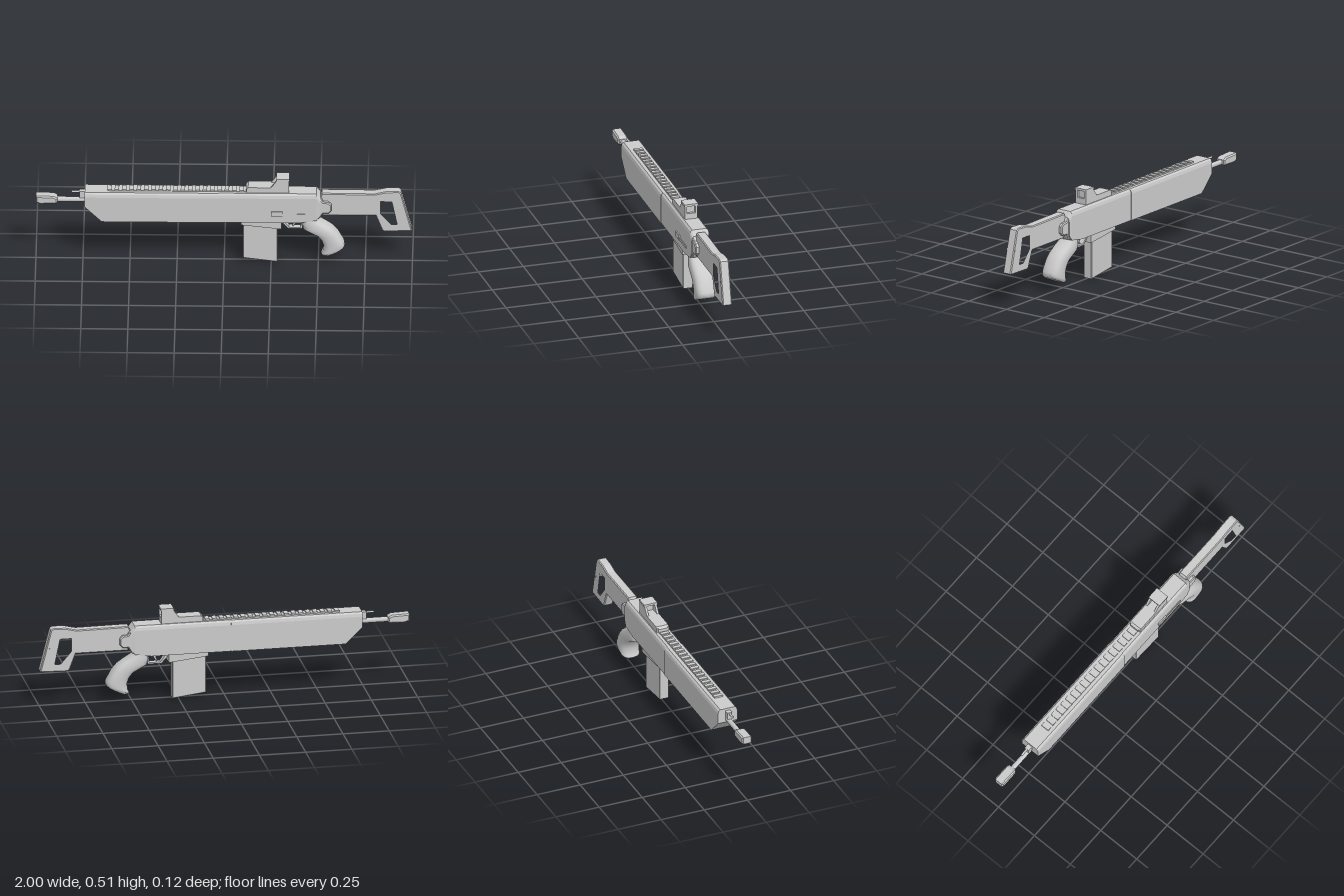
import * as THREE from 'three';
import { ConvexGeometry } from 'three/addons/geometries/ConvexGeometry.js';
import { toCreasedNormals } from 'three/addons/utils/BufferGeometryUtils.js';

const material = new THREE.MeshStandardMaterial({ color: 0xcccccc });

function shapeOf(points) {
  return new THREE.Shape(points.map(([x, y]) => new THREE.Vector2(x, y)));
}

// Side profile in x/y, given thickness centred on z, with an optional inward bevel
function plate(points, halfWidth, { hole, bevel = 0, z = 0 } = {}) {
  const shape = shapeOf(points);
  if (hole) shape.holes.push(shapeOf(hole));
  const depth = 2 * (halfWidth - bevel);
  const geometry = new THREE.ExtrudeGeometry(shape, {
    depth, bevelEnabled: bevel > 0, bevelSize: bevel, bevelThickness: bevel,
    bevelOffset: -bevel, bevelSegments: 1,
  });
  return geometry.translate(0, 0, z - depth / 2);
}

// Box given by its limits
function block(x0, x1, y0, y1, z0, z1) {
  return new THREE.BoxGeometry(x1 - x0, y1 - y0, z1 - z0)
    .translate((x0 + x1) / 2, (y0 + y1) / 2, (z0 + z1) / 2);
}

// Convex body from stations [x, bottom, top, halfWidth], with softened top edges
function housing(stations) {
  const points = [];
  for (const [x, bottom, top, w] of stations) {
    for (const s of [-1, 1]) {
      points.push(
        new THREE.Vector3(x, bottom, s * w),
        new THREE.Vector3(x, top - 0.025, s * w),
        new THREE.Vector3(x, top - 0.009, s * (w - 0.004)),
        new THREE.Vector3(x, top, s * (w - 0.013)),
      );
    }
  }
  return new ConvexGeometry(points);
}

function rod(x0, x1, y, radius) {
  return new THREE.CylinderGeometry(radius, radius, x1 - x0, 12)
    .rotateZ(Math.PI / 2).translate((x0 + x1) / 2, y, 0);
}

// Curved grip: rounded rings between a front and a back edge
function gripGeometry() {
  const rings = [ // front x, y, back x, y, half width
    [0.41, 0.268, 0.49, 0.268, 0.046], [0.412, 0.235, 0.505, 0.253, 0.05],
    [0.42, 0.202, 0.545, 0.23, 0.054], [0.455, 0.182, 0.58, 0.205, 0.055],
    [0.49, 0.165, 0.608, 0.172, 0.055], [0.515, 0.135, 0.625, 0.14, 0.055],
    [0.527, 0.1, 0.638, 0.118, 0.055], [0.522, 0.065, 0.641, 0.1, 0.055],
    [0.515, 0.05, 0.638, 0.094, 0.054], [0.527, 0.038, 0.627, 0.083, 0.045],
  ];
  const n = 20, positions = [], index = [];
  const soft = (v) => Math.sign(v) * Math.abs(v) ** 0.7;
  for (const [fx, fy, bx, by, w] of rings) {
    for (let i = 0; i < n; i++) {
      const a = (i / n) * Math.PI * 2, t = (soft(Math.cos(a)) + 1) / 2;
      positions.push(fx + (bx - fx) * t, fy + (by - fy) * t, w * soft(Math.sin(a)));
    }
  }
  const last = rings.length - 1;
  for (let r = 0; r < last; r++) {
    for (let i = 0; i < n; i++) {
      const a = r * n + i, b = r * n + (i + 1) % n;
      index.push(a, b, a + n, b, b + n, a + n);
    }
  }
  for (let i = 1; i < n - 1; i++) {
    index.push(0, i + 1, i, last * n, last * n + i, last * n + i + 1);
  }
  const geometry = new THREE.BufferGeometry();
  geometry.setAttribute('position', new THREE.Float32BufferAttribute(positions, 3));
  geometry.setIndex(index);
  return toCreasedNormals(geometry, 0.7);
}

export function createModel() {
  const model = new THREE.Group();
  const add = (name, geometry, parent = model) => {
    const mesh = new THREE.Mesh(geometry, material);
    mesh.name = name;
    parent.add(mesh);
    return mesh;
  };
  const group = (name) => {
    const g = new THREE.Group();
    g.name = name;
    model.add(g);
    return g;
  };

  // Long fore-end and receiver
  add('handguard', housing([
    [-0.74, 0.345, 0.428, 0.056], [-0.65, 0.256, 0.428, 0.056], [-0.03, 0.256, 0.428, 0.056],
  ]));
  add('receiver', housing([
    [-0.03, 0.256, 0.428, 0.053], [0.4, 0.256, 0.428, 0.053],
    [0.49, 0.27, 0.428, 0.053], [0.512, 0.3, 0.4, 0.05],
  ]));
  add('rearKnuckle', plate([
    [0.48, 0.27], [0.505, 0.275], [0.525, 0.308], [0.555, 0.308], [0.57, 0.325],
    [0.57, 0.36], [0.555, 0.375], [0.525, 0.378], [0.51, 0.4], [0.48, 0.4],
  ], 0.045, { bevel: 0.005 }));

  // Magazine and its well
  add('magazineWell', plate([
    [0.09, 0.27], [0.09, 0.232], [0.305, 0.208], [0.305, 0.27],
  ], 0.038));
  add('magazine', plate([
    [0.1, 0.24], [0.1, 0.024], [0.284, 0.001], [0.284, 0.24],
  ], 0.027, { bevel: 0.003 }));

  // Trigger and guard
  add('triggerGuard', plate([
    [0.3, 0.26], [0.3, 0.245], [0.34, 0.2], [0.415, 0.2], [0.42, 0.262],
  ], 0.016, { hole: [[0.315, 0.25], [0.345, 0.208], [0.406, 0.208], [0.41, 0.25]] }));
  add('trigger', plate([
    [0.36, 0.26], [0.385, 0.26], [0.382, 0.235], [0.368, 0.212], [0.362, 0.212], [0.37, 0.237],
  ], 0.008));

  add('pistolGrip', gripGeometry());

  // Shoulder stock with its opening
  add('stock', plate([
    [0.52, 0.422], [0.8, 0.42], [0.86, 0.434], [0.925, 0.437], [0.94, 0.428],
    [0.998, 0.2], [0.99, 0.194], [0.848, 0.191], [0.838, 0.2], [0.805, 0.287],
    [0.52, 0.287], [0.535, 0.35], [0.51, 0.4],
  ], 0.026, {
    bevel: 0.005,
    hole: [[0.825, 0.38], [0.895, 0.38], [0.925, 0.23], [0.885, 0.23], [0.825, 0.3]],
  }));
  add('buttPadStep', block(0.945, 0.962, 0.316, 0.326, -0.027, 0.027));

  // Toothed top rail
  const rail = group('topRail');
  add('railBase', block(-0.62, 0.13, 0.42, 0.431, -0.024, 0.024), rail);
  const teeth = 19, pitch = 0.74 / teeth;
  for (let i = 0; i < teeth; i++) {
    const x = -0.62 + i * pitch;
    add('railTooth', block(x, x + pitch * 0.6, 0.43, 0.437, -0.024, 0.024), rail);
  }

  // Hooded sight
  const sight = group('sight');
  add('sightBase', plate([
    [0.115, 0.425], [0.115, 0.448], [0.128, 0.46], [0.345, 0.46], [0.345, 0.425],
  ], 0.026), sight);
  for (const s of [-1, 1]) {
    add('sightWall', plate([
      [0.12, 0.425], [0.12, 0.453], [0.13, 0.46], [0.25, 0.46], [0.28, 0.503],
      [0.345, 0.503], [0.345, 0.425],
    ], 0.006, { z: s * 0.029 }), sight);
  }
  add('sightCap', block(0.278, 0.347, 0.501, 0.513, -0.038, 0.038), sight);
  add('sightLens', block(0.3, 0.33, 0.45, 0.503, -0.024, 0.024), sight);

  // Side lever on the model's front face
  const lever = group('sideLever');
  add('leverTrack', block(0.25, 0.43, 0.298, 0.312, 0.05, 0.057), lever);
  add('leverHandle', block(0.25, 0.31, 0.298, 0.326, 0.05, 0.06), lever);

  // Barrel, muzzle block and upper rod
  add('barrel', rod(-0.9, -0.72, 0.362, 0.014));
  add('muzzleBlock', plate([
    [-1, 0.392], [-0.905, 0.389], [-0.885, 0.378], [-0.885, 0.352], [-0.895, 0.345],
    [-0.975, 0.343], [-1, 0.352],
  ], 0.028, { bevel: 0.007 }));
  add('upperRod', rod(-0.81, -0.72, 0.409, 0.006));
  add('barrelCollar', block(-0.768, -0.735, 0.375, 0.415, -0.014, 0.014));

  return model;
}
